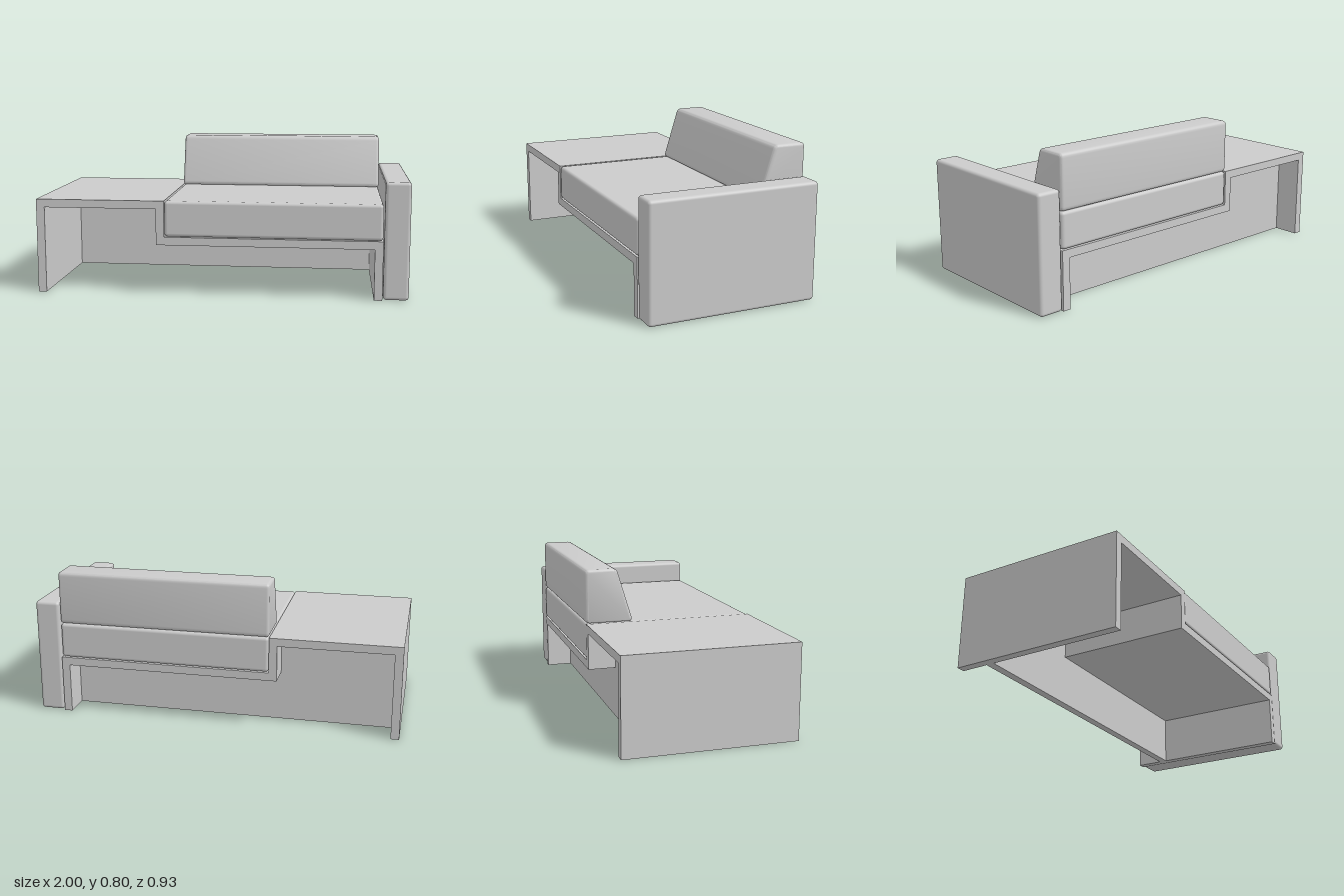
import * as THREE from 'three';
import { RoundedBoxGeometry } from 'three/addons/geometries/RoundedBoxGeometry.js';
import { toCreasedNormals } from 'three/addons/utils/BufferGeometryUtils.js';

const DEPTH = 0.925;
const material = new THREE.MeshStandardMaterial({ color: 0xcccccc });

function add(group, name, geometry, x = 0, y = 0, z = 0) {
  const mesh = new THREE.Mesh(geometry, material);
  mesh.name = name;
  mesh.position.set(x, y, z);
  group.add(mesh);
}

// Box with softened edges, given by its x and y limits
function addPadded(group, name, x0, x1, y0, y1, radius) {
  const geometry = new RoundedBoxGeometry(x1 - x0, y1 - y0, DEPTH, 4, radius);
  add(group, name, geometry, (x0 + x1) / 2, (y0 + y1) / 2, 0);
}

// Closed polygon whose corners are rounded by a radius
function roundedPolygon(points, radius) {
  const corners = points.map(([x, y]) => new THREE.Vector2(x, y));
  const shape = new THREE.Shape();
  corners.forEach((c, i) => {
    const prev = corners[(i + corners.length - 1) % corners.length];
    const next = corners[(i + 1) % corners.length];
    const a = prev.clone().sub(c).setLength(radius).add(c);
    const b = next.clone().sub(c).setLength(radius).add(c);
    if (i === 0) shape.moveTo(a.x, a.y);
    else shape.lineTo(a.x, a.y);
    shape.quadraticCurveTo(c.x, c.y, b.x, b.y);
  });
  shape.closePath();
  return shape;
}

export function createModel() {
  const sofa = new THREE.Group();
  sofa.name = 'sofaWithSideTable';

  // Stepped board frame: side table, seat deck and both end legs in one band
  const band = new THREE.Shape([
    [-1, 0], [-0.955, 0], [-0.955, 0.468], [-0.345, 0.468], [-0.345, 0.273], [0.818, 0.273],
    [0.818, 0], [0.862, 0], [0.862, 0.317], [-0.301, 0.317], [-0.301, 0.512], [-1, 0.512],
  ].map(([x, y]) => new THREE.Vector2(x, y)));
  const frame = new THREE.ExtrudeGeometry(band, { depth: DEPTH, bevelEnabled: false });
  add(sofa, 'frame', frame, 0, 0, -DEPTH / 2);

  // Upright stiffening panel beneath the frame, set in from the back
  const inside = new THREE.Shape([
    [-0.955, 0], [0.818, 0], [0.818, 0.273], [-0.345, 0.273], [-0.345, 0.468], [-0.955, 0.468],
  ].map(([x, y]) => new THREE.Vector2(x, y)));
  const panel = new THREE.ExtrudeGeometry(inside, { depth: 0.044, bevelEnabled: false });
  add(sofa, 'supportPanel', panel, 0, 0, -0.315);

  // Upholstered seat and arm
  addPadded(sofa, 'seatCushion', -0.3, 0.86, 0.319, 0.512, 0.018);
  addPadded(sofa, 'armrest', 0.866, 1, 0.002, 0.63, 0.018);

  // Back cushion with a sloping front, drawn in (-z, y) and swept along x
  const bevel = 0.016;
  const width = 1.16;
  const profile = roundedPolygon([[0.2, 0.512], [0.4625, 0.512], [0.4625, 0.802], [0.289, 0.802]], 0.024);
  const back = new THREE.ExtrudeGeometry(profile, {
    depth: width - 2 * bevel, curveSegments: 5,
    bevelSize: bevel, bevelThickness: bevel, bevelOffset: -bevel, bevelSegments: 4,
  });
  back.translate(0, 0, bevel);
  back.rotateY(Math.PI / 2);
  add(sofa, 'backCushion', toCreasedNormals(back, 0.6), -0.3, 0, 0);

  return sofa;
}
